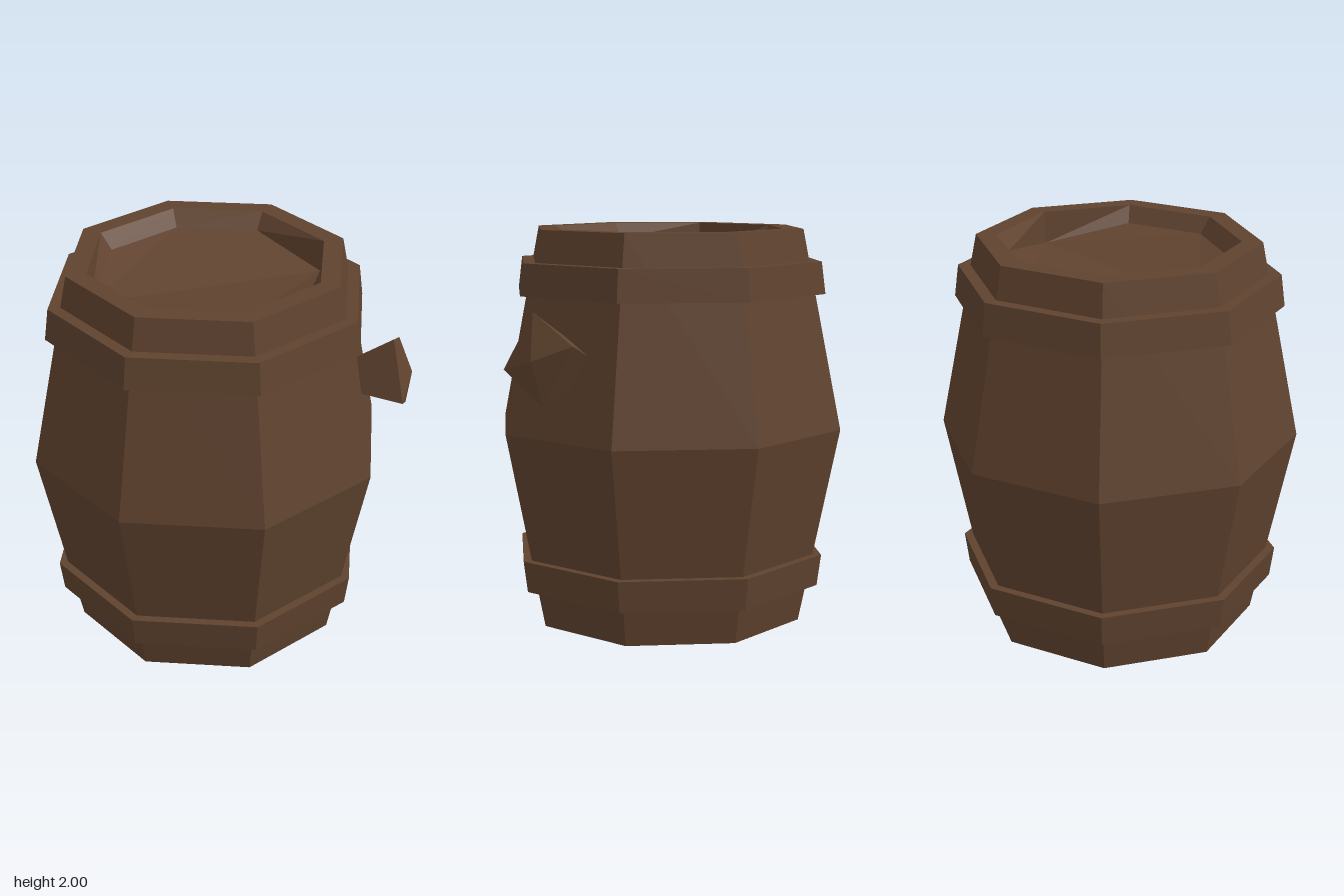
import * as THREE from 'three';

const SIDES = 8;
const TURN = THREE.MathUtils.degToRad(17.4); // angle of the first stave corner
const wood = new THREE.MeshStandardMaterial({ color: 0x60432f, flatShading: true });

function addMesh(parent, name, geometry) {
  const mesh = new THREE.Mesh(geometry, wood);
  mesh.name = name;
  parent.add(mesh);
  return mesh;
}

// Eight-sided turned part from [radius, y] pairs, listed bottom to top
function turned(profile) {
  const points = profile.map(([r, y]) => new THREE.Vector2(r, y));
  return new THREE.LatheGeometry(points, SIDES, Math.PI / 4 - TURN, Math.PI * 2);
}

function fromTriangles(triangles) {
  const geometry = new THREE.BufferGeometry().setFromPoints(triangles.flat());
  geometry.computeVertexNormals();
  return geometry;
}

function corner(k, r, y) {
  const a = TURN + (k * Math.PI) / 4;
  return new THREE.Vector3(r * Math.cos(a), y, r * Math.sin(a));
}

// Sunken end panel, slightly creased along one diagonal
function endPanel(isTop) {
  const level = (y) => (isTop ? y : 2 - y);
  const rim = (k) => corner(k % SIDES, 0.6, level(2));
  const lid = (k) => (k % 4 === 3
    ? corner(k % SIDES, 0.585, level(1.84))
    : corner(k % SIDES, 0.54, level(1.92)));
  const triangles = [];
  const tri = (a, b, c) => triangles.push(isTop ? [a, b, c] : [a, c, b]);
  for (let k = 0; k < SIDES; k++) {
    tri(rim(k), lid(k), rim(k + 1));
    tri(rim(k + 1), lid(k), lid(k + 1));
  }
  for (const s of [3, 7]) {
    tri(lid(s + 2), lid(s + 1), lid(s));
    tri(lid(s + 4), lid(s + 2), lid(s));
    tri(lid(s + 4), lid(s + 3), lid(s + 2));
  }
  return fromTriangles(triangles);
}

// Irregular eight-faced plug tapering into the side of the barrel
function plug() {
  const v = (x, y, z) => new THREE.Vector3(x, y, z);
  const ring = [v(0.84, 1.63, -0.01), v(0.91, 1.35, 0.125), v(0.91, 1.2, -0.155), v(0.85, 1.49, -0.3)];
  const outer = v(0.935, 1.41, -0.1);
  const inner = v(0.41, 1.33, -0.06);
  const triangles = [];
  ring.forEach((a, i) => {
    const b = ring[(i + 1) % 4];
    triangles.push([outer, b, a], [inner, a, b]);
  });
  return fromTriangles(triangles);
}

export function createModel() {
  const model = new THREE.Group();
  model.name = 'barrel';

  const cask = new THREE.Group();
  cask.name = 'cask';
  cask.position.x = -0.08;
  model.add(cask);

  // Staves with flat rims at both ends
  addMesh(cask, 'staves', turned([[0.6, 0], [0.702, 0], [0.905, 1], [0.702, 2], [0.6, 2]]));
  addMesh(cask, 'topPanel', endPanel(true));
  addMesh(cask, 'bottomPanel', endPanel(false));

  // Hoops, narrower toward the ends
  addMesh(cask, 'upperHoop', turned([[0.74, 1.68], [0.818, 1.68], [0.797, 1.84], [0.72, 1.84]]));
  addMesh(cask, 'lowerHoop', turned([[0.72, 0.19], [0.797, 0.19], [0.818, 0.35], [0.74, 0.35]]));

  const stopper = addMesh(model, 'plug', plug());
  orientOutward(stopper.geometry);
  return model;
}

// Turns any inward-facing triangle of a convex shape around
function orientOutward(geometry) {
  const p = geometry.attributes.position;
  geometry.computeBoundingBox();
  const centre = geometry.boundingBox.getCenter(new THREE.Vector3());
  const t = new THREE.Triangle();
  const n = new THREE.Vector3();
  for (let i = 0; i < p.count; i += 3) {
    t.setFromAttributeAndIndices(p, i, i + 1, i + 2);
    if (t.getNormal(n).dot(t.a.clone().sub(centre)) < 0) {
      p.setXYZ(i + 1, t.c.x, t.c.y, t.c.z);
      p.setXYZ(i + 2, t.b.x, t.b.y, t.b.z);
    }
  }
  geometry.computeVertexNormals();
}
